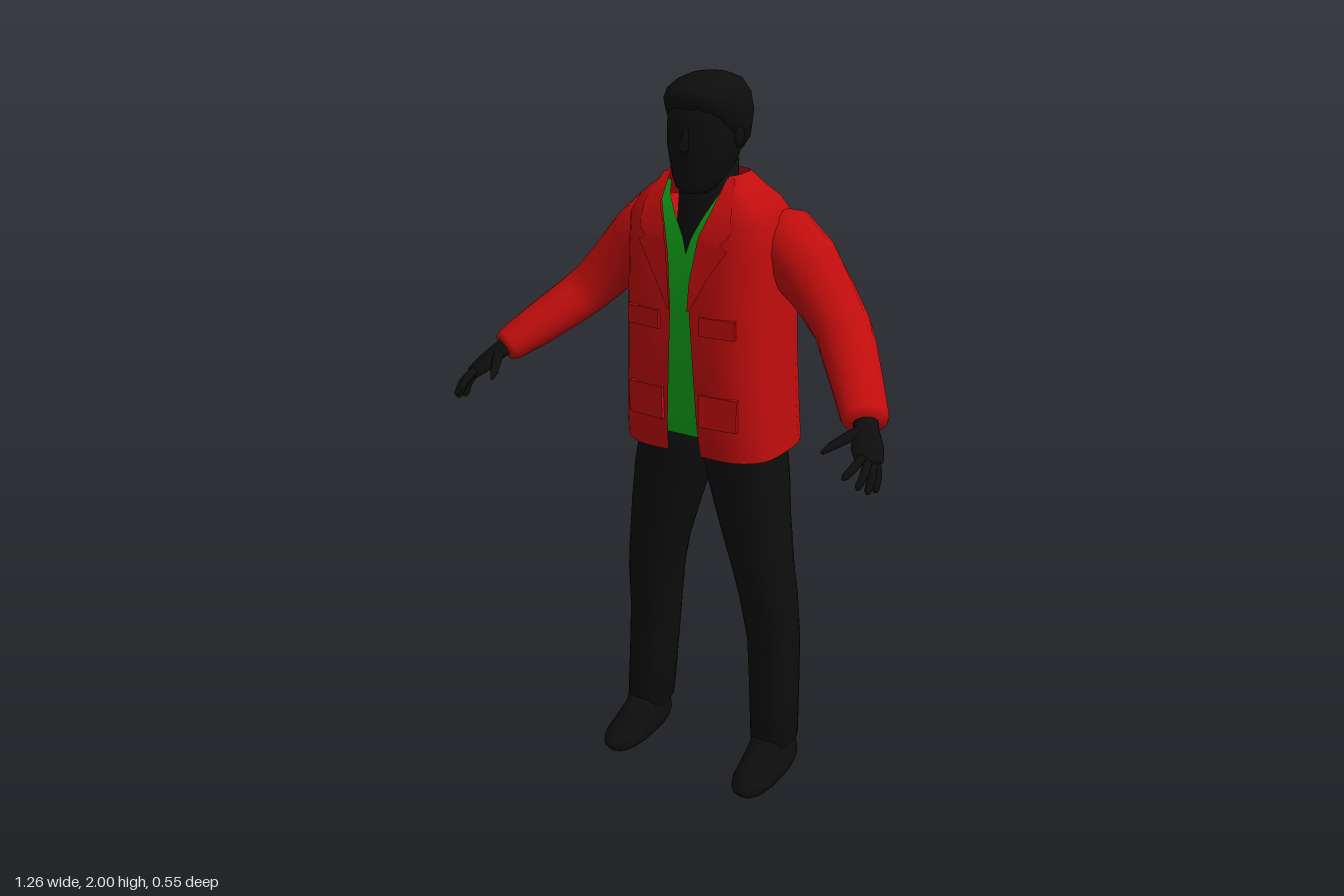
import * as THREE from 'three';

const flat = (name, color, side = THREE.FrontSide) => {
  const m = new THREE.MeshStandardMaterial({ color, side });
  m.name = name;
  return m;
};

// Skin over a list of rings (arrays of Vector3), optionally closed around and capped at the ends
function loft(rings, closed = true) {
  const n = rings[0].length, pos = [], idx = [];
  rings.forEach(r => r.forEach(p => pos.push(p.x, p.y, p.z)));
  for (let i = 0; i < rings.length - 1; i++) {
    for (let j = 0; j < (closed ? n : n - 1); j++) {
      const a = i * n + j, b = i * n + (j + 1) % n;
      idx.push(a, a + n, b, b, a + n, b + n);
    }
  }
  if (closed) {
    [0, rings.length - 1].forEach((i, end) => {
      const c = new THREE.Vector3();
      rings[i].forEach(p => c.addScaledVector(p, 1 / n));
      const k = pos.length / 3;
      pos.push(c.x, c.y, c.z);
      for (let j = 0; j < n; j++) {
        const a = i * n + j, b = i * n + (j + 1) % n;
        if (end) idx.push(a, k, b); else idx.push(a, b, k);
      }
    });
  }
  const g = new THREE.BufferGeometry();
  g.setAttribute('position', new THREE.Float32BufferAttribute(pos, 3));
  g.setIndex(idx);
  g.computeVertexNormals();
  return g;
}

// Upright form from rows of [y, half width, front z, back z, centre x, tilt]
function upright(rows, n = 20, power = 0.85) {
  const soft = v => Math.sign(v) * Math.abs(v) ** power;
  return loft(rows.map(([y, w, zf, zb, cx = 0, tilt = 0]) =>
    Array.from({ length: n }, (_, j) => {
      const a = j / n * Math.PI * 2, c = soft(Math.cos(a)), s = soft(Math.sin(a));
      return new THREE.Vector3(cx + w * c, y + tilt * s, (zf + zb) / 2 + (zf - zb) / 2 * s);
    })));
}

// Limb along rows of [x, y, z, sideways radius, upward radius]
function limb(rows, n = 14) {
  const c = rows.map(r => new THREE.Vector3(r[0], r[1], r[2]));
  return loft(rows.map((r, i) => {
    const t = c[Math.min(i + 1, c.length - 1)].clone().sub(c[Math.max(i - 1, 0)]).normalize();
    const u = new THREE.Vector3().crossVectors(t, new THREE.Vector3(0, 1, 0)).normalize();
    const v = new THREE.Vector3().crossVectors(u, t);
    return Array.from({ length: n }, (_, j) => {
      const a = j / n * Math.PI * 2;
      return c[i].clone().addScaledVector(u, r[3] * Math.cos(a)).addScaledVector(v, r[4] * Math.sin(a));
    });
  }));
}

// Cloth strip from rows of [y, inner x, outer x, z, outer z], on side s
const strip = (rows, s) => loft(rows.map(([y, xi, xo, z, zo = z]) => [
  new THREE.Vector3(s * xi, y, z), new THREE.Vector3(s * xo, y, zo)]), false);

export function createModel() {
  const model = new THREE.Group();
  const black = flat('black', 0x0d0d0d);
  const red = flat('jacketRed', 0xc00d0d, THREE.DoubleSide);
  const green = flat('shirtGreen', 0x12a018, THREE.DoubleSide);
  const add = (name, geometry, material) => {
    const m = new THREE.Mesh(geometry, material);
    m.name = name;
    model.add(m);
    return m;
  };

  // Head, hair and neck
  add('head', upright([
    [1.712, 0.035, 0.025, -0.08], [1.725, 0.052, 0.038, -0.1], [1.75, 0.066, 0.041, -0.13],
    [1.79, 0.08, 0.038, -0.15], [1.83, 0.088, 0.042, -0.165], [1.88, 0.092, 0.036, -0.18],
    [1.94, 0.09, 0.036, -0.18]]), black);
  add('hair', upright([
    [1.85, 0.092, 0.03, -0.165, 0, 0.06], [1.875, 0.102, 0.042, -0.195, 0, 0.06],
    [1.92, 0.106, 0.052, -0.21, 0, 0.03], [1.955, 0.098, 0.042, -0.2, 0, 0.01],
    [1.98, 0.077, 0.015, -0.175], [1.995, 0.045, -0.02, -0.135], [2, 0.015, -0.06, -0.1]], 24, 0.95), black);
  add('neck', upright([
    [1.5, 0.07, 0.005, -0.13], [1.6, 0.072, 0.01, -0.14], [1.68, 0.074, -0.005, -0.15],
    [1.78, 0.072, -0.02, -0.155]]), black);
  add('nose', limb([[0, 1.88, 0.03, 0.008, 0.006], [0, 1.825, 0.047, 0.014, 0.012],
    [0, 1.812, 0.045, 0.012, 0.008]], 8), black);

  // Open jacket body: [y, front opening, half width, front z, back z]
  const body = [
    [1.01, 0.05, 0.23, 0.045, -0.277], [1.1, 0.045, 0.225, 0.057, -0.273],
    [1.25, 0.037, 0.216, 0.063, -0.27], [1.42, 0.028, 0.21, 0.068, -0.27],
    [1.56, 0.042, 0.21, 0.054, -0.268], [1.64, 0.06, 0.205, 0.042, -0.238],
    [1.69, 0.08, 0.175, 0.02, -0.205], [1.725, 0.088, 0.13, -0.005, -0.178],
    [1.755, 0.085, 0.1, -0.035, -0.152]];
  add('jacketBody', loft(body.map(([y, o, w, zf, zb]) => {
    const d = zf - zb;
    const half = [[o, zf], [o + (w - o) * 0.55, zf - 0.006], [o + (w - o) * 0.9, zf - d * 0.16],
      [w, zf - d * 0.42], [w * 0.94, zb + d * 0.17], [w * 0.55, zb + d * 0.015]];
    const pts = [...half.map(([x, z]) => [-x, z]), [0, zb], ...half.slice().reverse()];
    return new THREE.CatmullRomCurve3(pts.map(([x, z]) => new THREE.Vector3(x, y, z))).getPoints(36);
  }), false), red);

  const fingers = [
    [0.585, 1.185, 0.2, 0.572, 1.155, 0.275], [0.598, 1.175, 0.195, 0.603, 1.13, 0.26],
    [0.606, 1.167, 0.183, 0.618, 1.112, 0.235], [0.608, 1.165, 0.166, 0.624, 1.103, 0.2]];

  for (const s of [1, -1]) {
    const side = s > 0 ? 'left' : 'right';
    const flip = rows => rows.map(r => [s * r[0], ...r.slice(1)]);

    // Shirt front, open in a V at the neck
    add(side + 'ShirtFront', strip([
      [1.06, 0, 0.08, 0.036], [1.25, 0, 0.075, 0.045], [1.42, 0, 0.07, 0.05], [1.56, 0, 0.075, 0.036],
      [1.6, 0.012, 0.085, 0.03], [1.65, 0.038, 0.09, 0.022], [1.7, 0.066, 0.1, 0.002, -0.008],
      [1.73, 0.078, 0.097, -0.025, -0.035]], s), green);

    // Lapel and pocket flaps
    add(side + 'Lapel', strip([
      [1.42, 0.026, 0.032, 0.076], [1.5, 0.032, 0.075, 0.074, 0.07], [1.585, 0.045, 0.13, 0.062, 0.054],
      [1.6, 0.048, 0.11, 0.062, 0.056], [1.62, 0.052, 0.132, 0.056, 0.046],
      [1.68, 0.075, 0.128, 0.036, 0.028], [1.75, 0.083, 0.104, -0.028, -0.032]], s), red);
    for (const [y, w, h, z] of [[1.385, 0.1, 0.05, 0.064], [1.15, 0.11, 0.09, 0.057]]) {
      const flap = add(side + 'Pocket', new THREE.BoxGeometry(w, h, 0.012), red);
      flap.position.set(s * 0.11, y, z);
      flap.rotation.y = s * 0.1;
    }

    // Sleeve
    add(side + 'Sleeve', limb(flip([
      [0.12, 1.6, -0.13, 0.08, 0.07], [0.19, 1.575, -0.14, 0.1, 0.098], [0.25, 1.525, -0.14, 0.096, 0.092],
      [0.32, 1.455, -0.125, 0.085, 0.076], [0.385, 1.385, -0.1, 0.077, 0.067],
      [0.42, 1.35, -0.062, 0.073, 0.064], [0.49, 1.285, 0.025, 0.065, 0.056],
      [0.54, 1.24, 0.09, 0.06, 0.045], [0.55, 1.232, 0.105, 0.052, 0.036]]), 18), red);

    // Hand with four fingers and a thumb
    add(side + 'Palm', limb(flip([
      [0.54, 1.243, 0.09, 0.03, 0.024], [0.56, 1.222, 0.125, 0.032, 0.02],
      [0.58, 1.195, 0.16, 0.04, 0.018], [0.6, 1.172, 0.19, 0.034, 0.012]])), black);
    for (const [ax, ay, az, bx, by, bz] of fingers) {
      add(side + 'Finger', limb(flip([
        [ax, ay, az, 0.011, 0.011], [(ax + bx) / 2 + 0.004, (ay + by) / 2 + 0.004, (az + bz) / 2, 0.011, 0.011],
        [bx * 0.9 + ax * 0.1, by * 0.9 + ay * 0.1, bz * 0.9 + az * 0.1, 0.009, 0.009],
        [bx, by, bz, 0.004, 0.004]]), 8), black);
    }
    add(side + 'Thumb', limb(flip([
      [0.55, 1.225, 0.13, 0.016, 0.014], [0.528, 1.212, 0.17, 0.014, 0.013],
      [0.508, 1.2, 0.205, 0.011, 0.011], [0.495, 1.19, 0.232, 0.005, 0.005]]), 8), black);

    // Trouser leg and shoe
    add(side + 'TrouserLeg', upright([
      [0.09, 0.063, -0.03, -0.19, 0.216], [0.3, 0.069, -0.04, -0.197, 0.206],
      [0.42, 0.071, -0.04, -0.202, 0.2], [0.56, 0.075, -0.015, -0.2, 0.187],
      [0.65, 0.08, -0.004, -0.196, 0.172], [0.8, 0.097, 0.004, -0.2, 0.142],
      [0.92, 0.11, 0.008, -0.215, 0.118], [1.0, 0.112, 0.012, -0.23, 0.1],
      [1.08, 0.112, 0.02, -0.23, 0.098]].map(r => [...r.slice(0, 4), s * r[4]])), black);
    add(side + 'Shoe', upright([
      [0, 0.056, 0.1, -0.195, s * 0.222], [0.015, 0.063, 0.112, -0.2, s * 0.222],
      [0.035, 0.062, 0.11, -0.198, s * 0.222], [0.06, 0.056, 0.065, -0.194, s * 0.22],
      [0.085, 0.052, 0.01, -0.19, s * 0.217], [0.12, 0.05, -0.035, -0.18, s * 0.215]]), black);
    // Ear
    const ear = add(side + 'Ear', new THREE.SphereGeometry(0.02, 10, 8), black);
    ear.scale.set(0.5, 1.5, 1);
    ear.position.set(s * 0.093, 1.85, -0.07);
  }
  return model;
}
